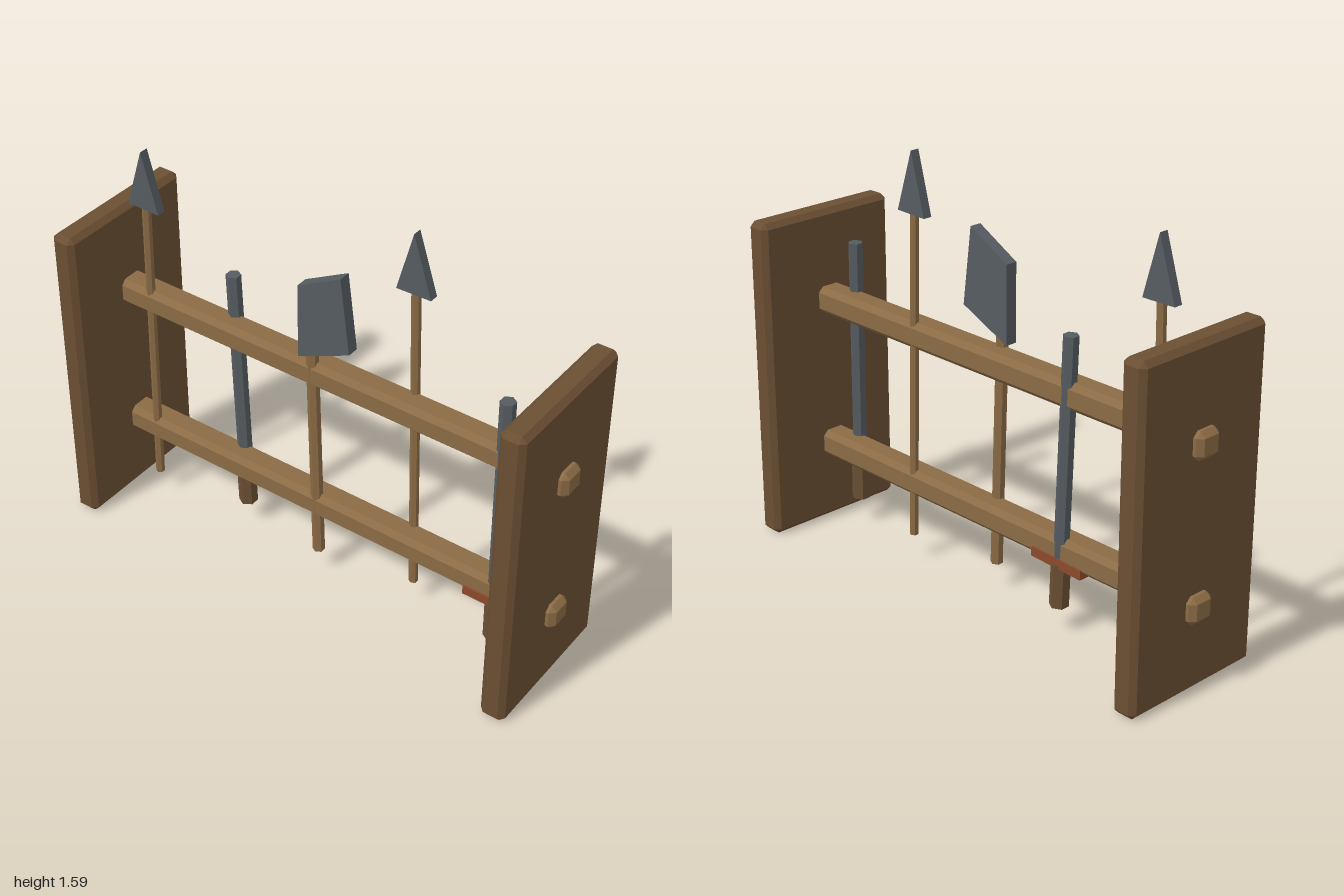
import * as THREE from 'three';
import { ConvexGeometry } from 'three/addons/geometries/ConvexGeometry.js';

const mat = (name, color) => {
  const m = new THREE.MeshStandardMaterial({ color, flatShading: true });
  m.name = name;
  return m;
};

// Box with chamfered edges and corners
function chamferBox(w, h, d, b) {
  const half = [w / 2, h / 2, d / 2];
  const pts = [];
  for (const sx of [-1, 1]) for (const sy of [-1, 1]) for (const sz of [-1, 1])
    for (let axis = 0; axis < 3; axis++) {
      const p = half.map((v, i) => (i === axis ? v : v - b));
      pts.push(new THREE.Vector3(p[0] * sx, p[1] * sy, p[2] * sz));
    }
  return new ConvexGeometry(pts);
}

// Flat plate of even thickness, centred on z = 0
function plate(points, thickness) {
  const shape = new THREE.Shape(points.map(([x, y]) => new THREE.Vector2(x, y)));
  const geo = new THREE.ExtrudeGeometry(shape, { depth: thickness, bevelEnabled: false });
  return geo.translate(0, 0, -thickness / 2);
}

// Six-sided rod standing between two heights
const rod = (r, y0, y1) => new THREE.CylinderGeometry(r, r, y1 - y0, 6).translate(0, (y0 + y1) / 2, 0);

export function createModel() {
  const darkWood = mat('dark wood', 0x6b4f33);
  const lightWood = mat('light wood', 0x8b6b45);
  const metal = mat('grey metal', 0x555c61);
  const guardMat = mat('reddish guard', 0x8b4a2b);

  const model = new THREE.Group();
  model.name = 'weaponRack';

  const add = (parent, name, geo, material, x = 0, y = 0, z = 0) => {
    const mesh = new THREE.Mesh(geo, material);
    mesh.name = name;
    mesh.position.set(x, y, z);
    parent.add(mesh);
    return mesh;
  };

  // Group standing at height 0.1, leaning sideways by a slope
  const leaning = (name, x, z, slope) => {
    const g = new THREE.Group();
    g.name = name;
    g.position.set(x, 0.1, z);
    g.rotation.z = -Math.atan(slope);
    model.add(g);
    return g;
  };

  // Side panels
  for (const [name, s] of [['leftPanel', 1], ['rightPanel', -1]])
    add(model, name, chamferBox(0.097, 1.246, 0.592, 0.02), darkWood, s * 0.92, 0.623, 0);

  // Rails running through the panels
  for (const [name, y] of [['lowerRail', 0.315], ['upperRail', 0.901]])
    add(model, name, chamferBox(2, 0.102, 0.106, 0.02), lightWood, 0, y, 0);

  // Spears
  for (const [name, x, z, slope, base] of [
    ['rightSpear', -0.762, 0.033, 0.0135, 1.205],
    ['leftSpear', 0.377, -0.033, -0.0235, 1.258],
  ]) {
    const spear = leaning(name, x, z, slope);
    add(spear, 'spearShaft', rod(0.017, 0, base), lightWood);
    add(spear, 'spearHead', plate([[-0.068, base], [0.068, base], [0, base + 0.23]], 0.035), metal);
  }

  // Axe
  const axe = leaning('axe', 0, 0.032, -0.03);
  add(axe, 'axeShaft', rod(0.023, 0, 0.905), lightWood);
  const axeBlade = plate([[-0.07, 0.968], [0.144, 1.064], [0.107, 1.358], [-0.07, 1.262]], 0.046);
  add(model, 'axeBlade', axeBlade, metal, 0, 0, 0.032);

  // Swords
  for (const [name, x, z, slope, top] of [
    ['rightSword', -0.38, -0.033, -0.037, 1.018],
    ['leftSword', 0.76, 0.033, -0.006, 1.039],
  ]) {
    const sword = leaning(name, x, z, slope);
    add(sword, 'swordHandle', rod(0.036, 0, 0.17), darkWood);
    add(sword, 'swordGuard', new THREE.BoxGeometry(0.235, 0.036, 0.056), guardMat, 0, 0.175, 0);
    add(sword, 'swordBlade', rod(0.028, 0.19, top), metal);
  }

  return model;
}
